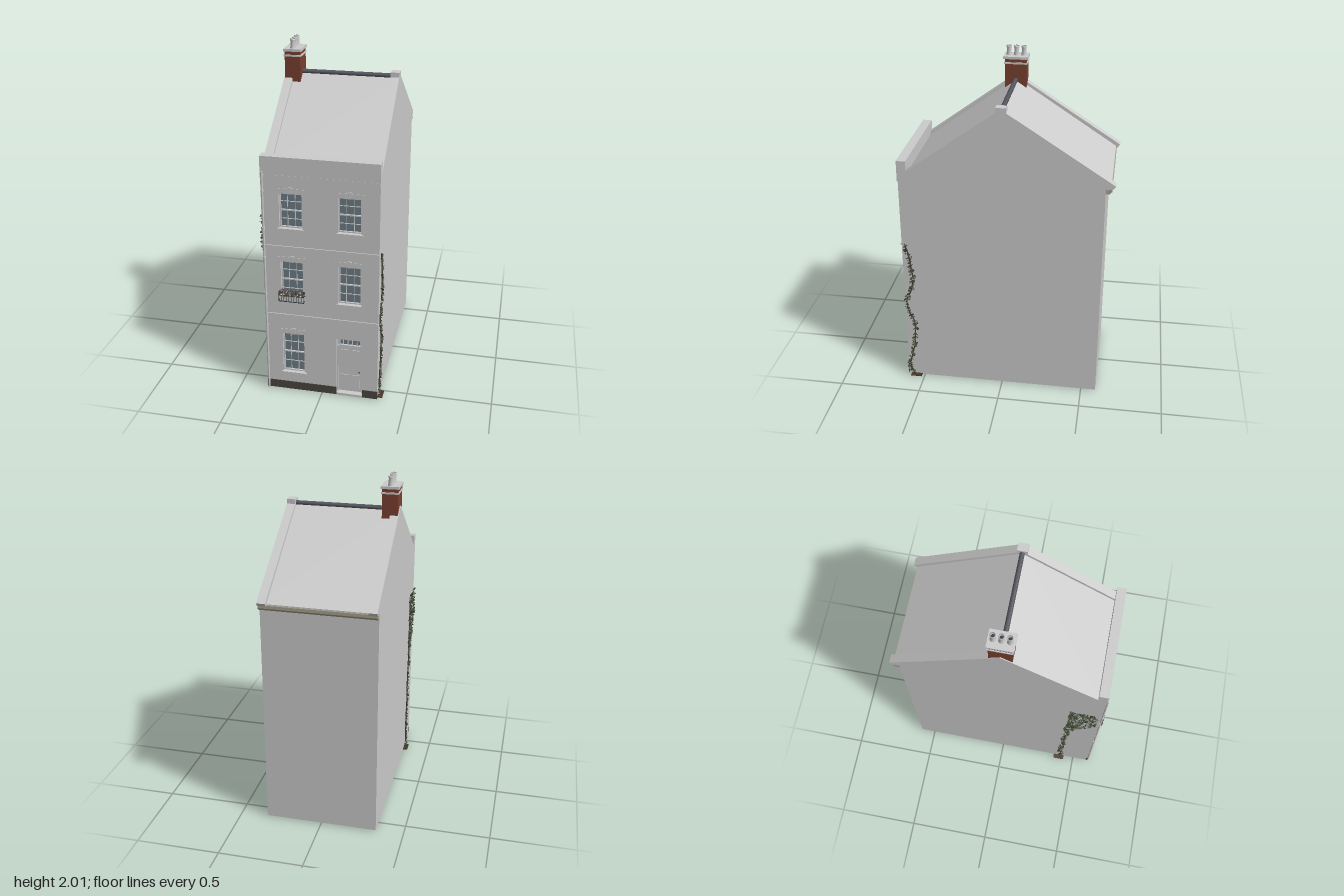
import * as THREE from 'three';
import { mergeGeometries } from 'three/addons/utils/BufferGeometryUtils.js';

const mat = (color) => new THREE.MeshStandardMaterial({ color, side: THREE.DoubleSide });
const grey = mat(0xcccccc), glass = mat(0x6f7e88), brick = mat(0x7a4030), plinthMat = mat(0x4b4640);
const ridgeMat = mat(0x55555f), tan = mat(0xb5ab8c), soil = mat(0x4a3226), gutterMat = mat(0xa9a48f);
const leafMat = mat(0x48503c), flowerMat = mat(0x8a4a58), stemMat = mat(0x4a4036), dark = mat(0x33363a);

const W = 0.335, FRONT = 0.6, BACK = -0.59;

function add(parent, name, geometry, material = grey) {
  const mesh = new THREE.Mesh(geometry, material);
  mesh.name = name;
  parent.add(mesh);
  return mesh;
}

// Box given by its extents on each axis
function box(parent, name, x0, x1, y0, y1, z0, z1, material) {
  const g = new THREE.BoxGeometry(x1 - x0, y1 - y0, z1 - z0);
  g.translate((x0 + x1) / 2, (y0 + y1) / 2, (z0 + z1) / 2);
  return add(parent, name, g, material);
}

// Profile of [z, y] points, extruded from x0 to x1
function slabX(parent, name, pts, x0, x1, material) {
  const shape = new THREE.Shape(pts.map(([z, y]) => new THREE.Vector2(-z, y)));
  const g = new THREE.ExtrudeGeometry(shape, { depth: x1 - x0, bevelEnabled: false });
  g.rotateY(Math.PI / 2).translate(x0, 0, 0);
  return add(parent, name, g, material);
}

function rectPath(x0, x1, y0, y1) {
  return new THREE.Path([[x0, y0], [x0, y1], [x1, y1], [x1, y0]].map(([x, y]) => new THREE.Vector2(x, y)));
}

function seeded(seed) {
  return () => (seed = (seed * 16807) % 2147483647) / 2147483647;
}

// Many small folded leaves merged in one mesh; place(i) returns a position
function leaves(parent, name, count, size, place, rand, material) {
  const parts = [];
  for (let i = 0; i < count; i++) {
    const g = new THREE.CircleGeometry(size * (0.6 + 0.6 * rand()), 5);
    g.rotateX(rand() * 6).rotateY(rand() * 6).rotateZ(rand() * 6);
    const p = place(i);
    parts.push(g.translate(p.x, p.y, p.z));
  }
  add(parent, name, mergeGeometries(parts), material);
}

// Sash window with glass, bars, sill, flat arch and keystone, plus the room box behind it
function sashWindow(cx, y0, y1) {
  const g = new THREE.Group();
  g.name = 'sashWindow';
  const h = 0.066, x0 = cx - h, x1 = cx + h, z = FRONT - 0.025, f = 0.007, mid = (y0 + y1) / 2;
  box(g, 'glass', x0, x1, y0, y1, z - 0.004, z, glass);
  for (const s of [-1, 1]) box(g, 'frameSide', cx + s * (h - f / 2) - f / 2, cx + s * (h - f / 2) + f / 2, y0, y1, z, z + 0.01);
  for (const y of [y0, mid - f / 2, y1 - f]) box(g, 'frameRail', x0, x1, y, y + f, z, z + 0.01);
  for (const s of [-1, 1]) box(g, 'uprightBar', cx + s * 0.022 - 0.0015, cx + s * 0.022 + 0.0015, y0, y1, z, z + 0.005);
  for (const t of [0.25, 0.75]) {
    const y = y0 + (y1 - y0) * t;
    box(g, 'crossBar', x0, x1, y - 0.0015, y + 0.0015, z, z + 0.005);
  }
  box(g, 'sill', x0 - 0.01, x1 + 0.01, y0 - 0.012, y0, z, FRONT + 0.009);
  const arch = new THREE.Shape([[x0, y1], [x1, y1], [x1 + 0.016, y1 + 0.03], [x0 - 0.016, y1 + 0.03]].map((p) => new THREE.Vector2(...p)));
  add(g, 'flatArch', new THREE.ExtrudeGeometry(arch, { depth: 0.002, bevelEnabled: false })).position.z = FRONT;
  const key = new THREE.Shape([[-0.009, 0], [0.009, 0], [0.014, 0.036], [0, 0.04], [-0.014, 0.036]].map((p) => new THREE.Vector2(...p)));
  add(g, 'keystone', new THREE.ExtrudeGeometry(key, { depth: 0.006, bevelEnabled: false })).position.set(cx, y1, FRONT);
  box(g, 'roomBehind', cx - 0.13, cx + 0.13, y0 - 0.02, y1 + 0.03, FRONT - 0.13, FRONT - 0.045, tan);
  box(g, 'roomFloor', cx - 0.13, cx + 0.13, y0 - 0.025, y0 - 0.02, FRONT - 0.13, FRONT - 0.045, soil);
  return g;
}

function door() {
  const g = new THREE.Group();
  g.name = 'door';
  const x0 = 0.09, x1 = 0.245, z = FRONT - 0.025;
  box(g, 'leaf', x0, x1, 0, 0.33, z - 0.01, z);
  box(g, 'transomGlass', x0, x1, 0.33, 0.382, z - 0.01, z - 0.004, glass);
  for (const y of [0.328, 0.375]) box(g, 'transomRail', x0, x1, y, y + 0.007, z - 0.004, z + 0.008);
  for (let i = 0; i <= 5; i++) {
    const x = x0 + 0.01 + i * 0.027, w = i % 5 ? 0.0015 : 0.008;
    box(g, 'transomBar', x - w, x + w, 0.33, 0.382, z - 0.004, z + 0.005);
  }
  for (const x of [0.112, 0.175])
    for (const [y0, y1] of [[0.04, 0.13], [0.17, 0.3]]) box(g, 'panel', x, x + 0.048, y0, y1, z, z + 0.004);
  for (const x of [x0, x1 - 0.008]) box(g, 'jamb', x, x + 0.008, 0, 0.33, z, z + 0.012);
  add(g, 'knob', new THREE.SphereGeometry(0.005, 10, 8), dark).position.set(0.222, 0.155, z + 0.006);
  box(g, 'step', x0, x1, 0, 0.015, z, FRONT + 0.008);
  return g;
}

// Climbing plant on a side wall: soil patch, wavy stem and leaves
function climber(name, side, z0, height, wander, crown, seed) {
  const g = new THREE.Group(), rand = seeded(seed);
  g.name = name;
  const x = side * (W + 0.008), pts = [];
  for (let i = 0; i <= 12; i++) pts.push(new THREE.Vector3(x, (height * i) / 12, z0 + wander(i / 12) + 0.008 * Math.sin(i * 2.1)));
  const curve = new THREE.CatmullRomCurve3(pts);
  const patch = side * (W + 0.014);
  box(g, 'soilPatch', patch - 0.014, patch + 0.014, 0, 0.005, z0 - 0.035, z0 + 0.035, soil);
  add(g, 'stem', new THREE.TubeGeometry(curve, 40, 0.004, 5), stemMat);
  leaves(g, 'leaves', 260, 0.008, () => {
    const p = curve.getPoint(rand());
    return p.add(new THREE.Vector3(side * 0.008 * rand(), 0, (rand() - 0.5) * 0.03));
  }, rand, leafMat);
  if (crown) leaves(g, 'crown', 300, 0.009, () => {
    const t = rand(), y = height * (0.66 + 0.34 * t);
    const spread = 0.03 + 0.14 * Math.min(1, t * 2);
    return new THREE.Vector3(x + side * 0.01 * (rand() - 0.3), y, z0 + 0.01 + spread * rand());
  }, rand, leafMat);
  return g;
}

export function createModel() {
  const house = new THREE.Group();
  house.name = 'townHouse';

  // Walls: open underneath, with a pierced facade
  const rows = [[0.12, 0.382], [0.615, 0.852], [1.06, 1.268]];
  const bays = [[-0.167, 0], [-0.167, 1], [0.167, 1], [-0.167, 2], [0.167, 2]];
  const face = new THREE.Shape([[-W, 0], [0.09, 0], [0.09, 0.382], [0.245, 0.382], [0.245, 0], [W, 0], [W, 1.48], [-W, 1.48]].map((p) => new THREE.Vector2(...p)));
  for (const [cx, r] of bays) face.holes.push(rectPath(cx - 0.066, cx + 0.066, ...rows[r]));
  add(house, 'facade', new THREE.ExtrudeGeometry(face, { depth: 0.04, bevelEnabled: false })).position.z = FRONT - 0.04;
  const gable = [[FRONT - 0.04, 0], [FRONT - 0.04, 1.4], [0.55, 1.4], [0, 1.79], [BACK, 1.4], [BACK, 0]];
  slabX(house, 'leftWall', gable, W - 0.004, W);
  slabX(house, 'rightWall', gable, -W, -W + 0.004);
  box(house, 'backWall', -W, W, 0, 1.4, BACK, BACK + 0.004);
  for (const [cx, r] of bays) house.add(sashWindow(cx, ...rows[r]));
  house.add(door());

  // Facade trim
  box(house, 'plinth', -W, 0.09, 0, 0.05, FRONT - 0.01, FRONT + 0.004, plinthMat);
  box(house, 'plinth', 0.245, W, 0, 0.05, FRONT - 0.01, FRONT + 0.004, plinthMat);
  for (const [y0, y1] of [[0.5, 0.512], [0.938, 0.95], [1.355, 1.375]]) box(house, 'stringCourse', -W, W, y0, y1, FRONT - 0.01, FRONT + 0.006);
  box(house, 'parapet', -W, W, 1.375, 1.48, 0.55, FRONT + 0.005);

  // Roof slopes, raised gable copings and ridge
  slabX(house, 'frontSlope', [[0.55, 1.4], [0, 1.8], [0, 1.775], [0.55, 1.375]], -W + 0.004, W - 0.004);
  slabX(house, 'backSlope', [[-0.62, 1.395], [0, 1.8], [0, 1.775], [-0.62, 1.37]], -W + 0.004, W - 0.004);
  const coping = [[0.55, 1.42], [0.03, 1.8], [0, 1.822], [-0.03, 1.8], [-0.645, 1.405], [-0.63, 1.385], [-0.6, 1.38], [0, 1.77], [0.55, 1.375]];
  for (const x of [-W, W - 0.05]) slabX(house, 'gableCoping', coping, x, x + 0.05);
  box(house, 'apexBlock', W - 0.05, W, 1.79, 1.828, -0.03, 0.03);
  const ridge = new THREE.CylinderGeometry(0.014, 0.014, 2 * W - 0.1, 12);
  add(house, 'ridgeTile', ridge.rotateZ(Math.PI / 2).translate(0, 1.802, 0), ridgeMat);
  slabX(house, 'gutter', [[-0.588, 1.355], [-0.61, 1.355], [-0.625, 1.37], [-0.625, 1.388], [-0.588, 1.388]], -W, W, gutterMat);

  // Chimney
  const chimney = new THREE.Group();
  chimney.name = 'chimney';
  house.add(chimney);
  box(chimney, 'stack', -0.33, -0.238, 1.745, 1.93, -0.065, 0.065, brick);
  box(chimney, 'band', -0.335, -0.233, 1.9, 1.91, -0.07, 0.07);
  box(chimney, 'cap', -0.336, -0.231, 1.93, 1.945, -0.074, 0.074);
  const pot = [[0.018, 0], [0.015, 0.012], [0.013, 0.042], [0.016, 0.045], [0.016, 0.055], [0.011, 0.055], [0.01, 0.01]].map((p) => new THREE.Vector2(...p));
  for (const z of [-0.045, 0, 0.045]) {
    add(chimney, 'pot', new THREE.LatheGeometry(pot, 16)).position.set(-0.284, 1.945, z);
    add(chimney, 'potHollow', new THREE.CircleGeometry(0.011, 16).rotateX(-Math.PI / 2), dark).position.set(-0.284, 1.985, z);
  }

  // Drainpipe with collars
  add(house, 'drainpipe', new THREE.CylinderGeometry(0.006, 0.006, 1.39, 10)).position.set(-0.324, 0.695, 0.608);
  for (const y of [0.2, 0.43, 0.64, 0.87, 1.05, 1.28]) add(house, 'pipeCollar', new THREE.CylinderGeometry(0.008, 0.008, 0.014, 10)).position.set(-0.324, y, 0.608);

  // Window box: railing, trough and flowers
  const planter = new THREE.Group(), rand = seeded(77);
  planter.name = 'windowBox';
  house.add(planter);
  box(planter, 'trough', -0.235, -0.1, 0.625, 0.648, 0.612, 0.63);
  for (const y of [0.612, 0.65]) box(planter, 'rail', -0.242, -0.092, y, y + 0.003, 0.632, 0.636, dark);
  for (let i = 0; i <= 10; i++) box(planter, 'railBar', -0.242 + i * 0.0148, -0.24 + i * 0.0148, 0.612, 0.65, 0.632, 0.635, dark);
  for (const x of [-0.242, -0.095]) box(planter, 'bracket', x, x + 0.003, 0.612, 0.616, FRONT, 0.636, dark);
  const bed = () => new THREE.Vector3(-0.242 + 0.15 * rand(), 0.645 + 0.035 * rand(), 0.612 + 0.024 * rand());
  leaves(planter, 'foliage', 130, 0.008, bed, rand, leafMat);
  leaves(planter, 'flowers', 50, 0.006, () => bed().add(new THREE.Vector3(0, 0.003, 0)), rand, flowerMat);

  // Climbing plants on both side walls
  house.add(climber('rightClimber', -1, 0.4, 1.12, (t) => 0.03 * t, true, 11));
  house.add(climber('leftClimber', 1, 0.55, 0.95, (t) => 0.022 * Math.sin(t * 14) + 0.01, false, 23));
  return house;
}
